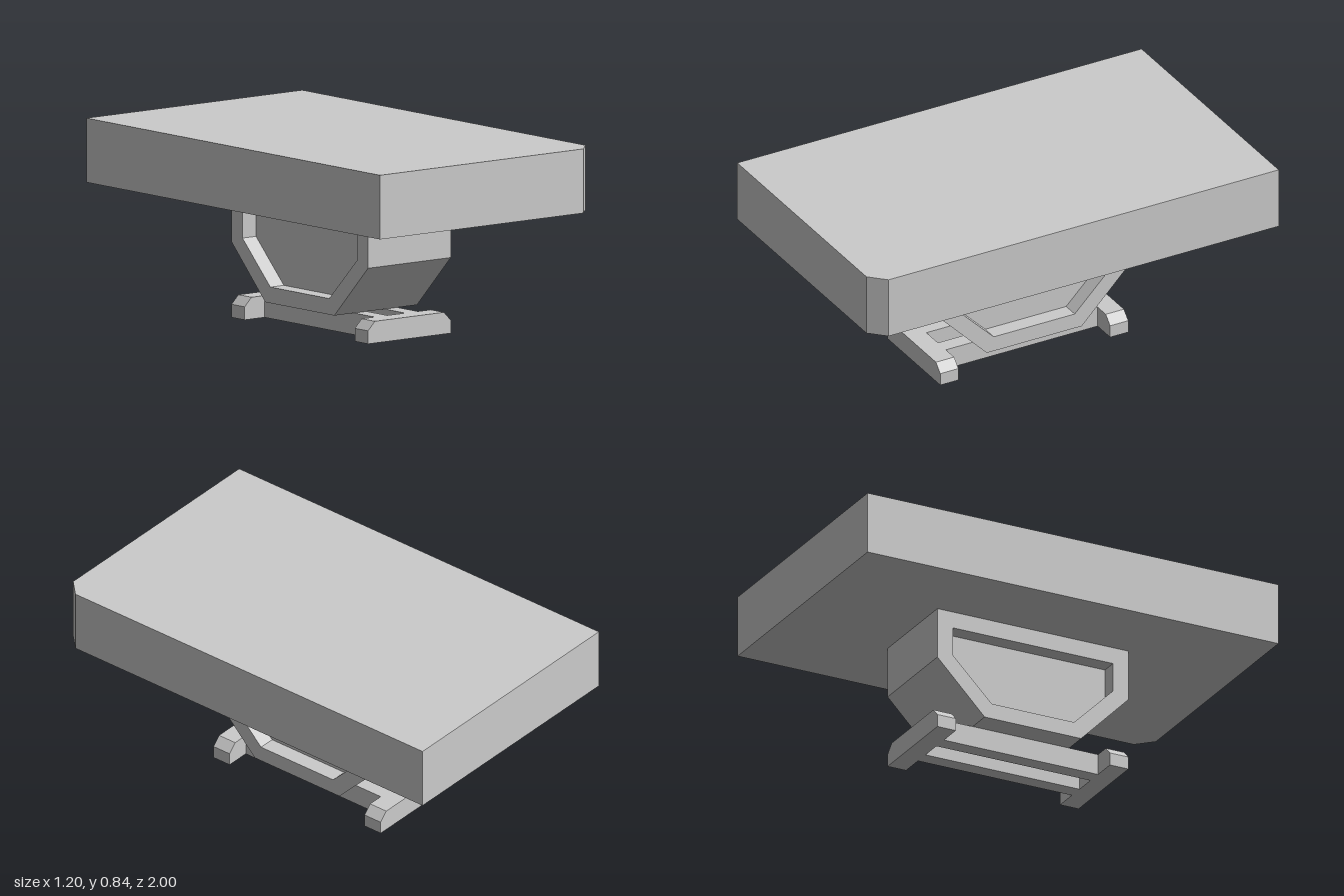
import * as THREE from 'three';

const material = new THREE.MeshStandardMaterial({ color: 0xcccccc, flatShading: true });

const toPoints = (pairs) => pairs.map(([x, y]) => new THREE.Vector2(x, y));

// Closed outline, symmetric about x = 0, from its right half listed bottom to top
const mirrored = (half) => toPoints([...half, ...half.map(([x, y]) => [-x, y]).reverse()]);

// Extrudes an outline, centred on its depth
function prism(points, depth, hole) {
  const shape = new THREE.Shape(points);
  if (hole) shape.holes.push(new THREE.Path(hole));
  const geometry = new THREE.ExtrudeGeometry(shape, { depth, bevelEnabled: false });
  return geometry.translate(0, 0, -depth / 2);
}

function add(parent, name, geometry, x = 0, y = 0, z = 0) {
  const mesh = new THREE.Mesh(geometry, material);
  mesh.name = name;
  mesh.position.set(x, y, z);
  parent.add(mesh);
}

export function createModel() {
  const model = new THREE.Group();
  model.name = 'pedestalTable';

  // Table top with one clipped front corner
  const topOutline = toPoints([[-0.6, -1], [0.53, -1], [0.6, -0.93], [0.6, 1], [-0.6, 1]]);
  add(model, 'tableTop', prism(topOutline, 0.28).rotateX(-Math.PI / 2), 0, 0.7, 0);

  // Tapered pedestal: a core with a raised rim framing the recess on each side
  const pedestal = new THREE.Group();
  pedestal.name = 'pedestal';
  model.add(pedestal);
  const outer = mirrored([[0.235, 0.095], [0.465, 0.33], [0.465, 0.56]]);
  const recess = mirrored([[0.2, 0.165], [0.39, 0.355], [0.39, 0.485]]);
  const rimDepth = 0.075;
  add(pedestal, 'pedestalCore', prism(outer, 0.46 - 2 * rimDepth).rotateY(Math.PI / 2));
  for (const side of [-1, 1]) {
    const rim = prism(outer, rimDepth, recess).rotateY(Math.PI / 2);
    add(pedestal, 'pedestalRim', rim, side * (0.23 - rimDepth / 2));
  }

  // Base: two cross feet with clipped top ends, joined by two rails
  const base = new THREE.Group();
  base.name = 'base';
  model.add(base);
  const footOutline = mirrored([[0.23, 0], [0.23, 0.057], [0.192, 0.095]]);
  for (const side of [-1, 1]) {
    add(base, 'foot', prism(footOutline, 0.09), 0, 0, side * 0.42);
    add(base, 'rail', new THREE.BoxGeometry(0.07, 0.095, 0.75), side * 0.085, 0.0475, 0);
  }

  return model;
}
